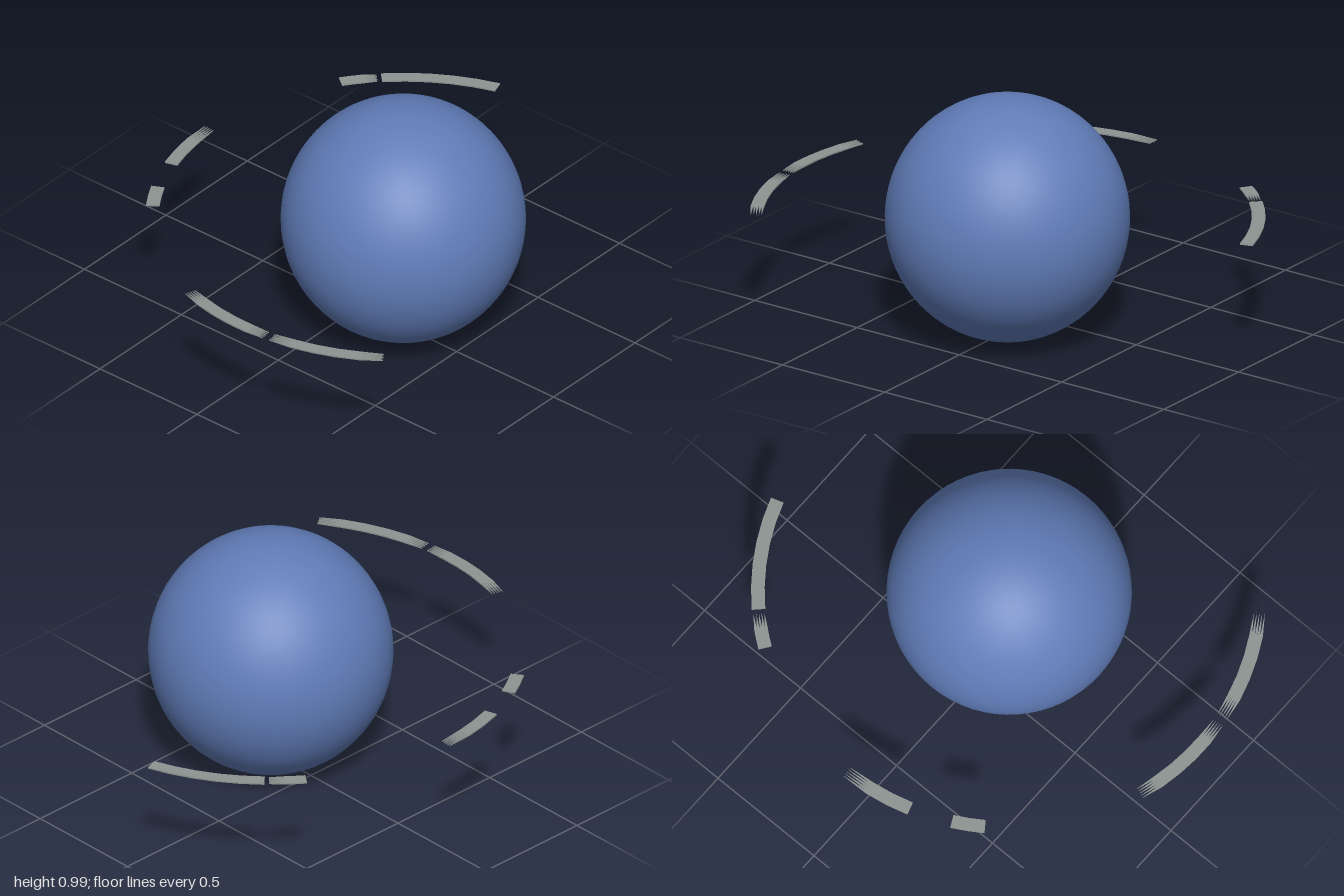
import * as THREE from 'three';

const CX = 0.021, CZ = 0.207, MID = 0.5;
const OUTER = 1.02, INNER = 0.966, THICK = 0.006, TEETH = 5;

// Flat broken piece of ring from angle a to b (degrees), with frayed ends of given lengths
function ringPiece(a, b, frayA, frayB) {
  const pts = [];
  const add = (deg, r) => {
    const t = THREE.MathUtils.degToRad(deg);
    pts.push(new THREE.Vector2(Math.cos(t) * r, Math.sin(t) * r));
  };
  const steps = Math.max(2, Math.round((b - a) / 6));
  const teeth = (base, tip, r0, r1) => {
    for (let i = 0; i < TEETH; i++) {
      add(tip, THREE.MathUtils.lerp(r0, r1, (i + 0.5) / TEETH));
      if (i < TEETH - 1) add(base, THREE.MathUtils.lerp(r0, r1, (i + 1) / TEETH));
    }
  };
  for (let i = 0; i <= steps; i++) add(a + (b - a) * i / steps, OUTER);
  if (frayB) teeth(b, b + frayB, OUTER, INNER);
  for (let i = steps; i >= 0; i--) add(a + (b - a) * i / steps, INNER);
  if (frayA) teeth(a, a - frayA, INNER, OUTER);
  const geo = new THREE.ExtrudeGeometry(new THREE.Shape(pts), { depth: THICK, bevelEnabled: false });
  geo.rotateX(-Math.PI / 2);
  geo.translate(0, -THICK / 2, 0);
  return geo;
}

export function createModel() {
  const blue = new THREE.MeshStandardMaterial({ color: 0x607cb8 });
  blue.name = 'planetBlue';
  const grey = new THREE.MeshStandardMaterial({ color: 0x8c9491 });
  grey.name = 'ringGrey';

  const model = new THREE.Group();
  model.name = 'ringedPlanet';

  // Planet, slightly taller than wide
  const planet = new THREE.Mesh(new THREE.SphereGeometry(1, 64, 40), blue);
  planet.name = 'planet';
  planet.scale.set(0.485, 0.497, 0.485);
  planet.position.set(CX, 0.497, CZ);
  model.add(planet);

  // Broken ring: start, end, fray at start, fray at end
  const ring = new THREE.Group();
  ring.name = 'brokenRing';
  ring.position.set(CX, MID, CZ);
  const pieces = [
    [18, 45, 0, 0],
    [49.5, 54.5, 3.5, 0],
    [97, 107.5, 6.5, 0],
    [117.5, 125.2, 0, 0],
    [167, 182, 5, 5],
    [194, 210, 5.5, 5.5],
  ];
  pieces.forEach((p, i) => {
    const mesh = new THREE.Mesh(ringPiece(...p), grey);
    mesh.name = 'ringPiece' + (i + 1);
    ring.add(mesh);
  });
  model.add(ring);
  return model;
}
